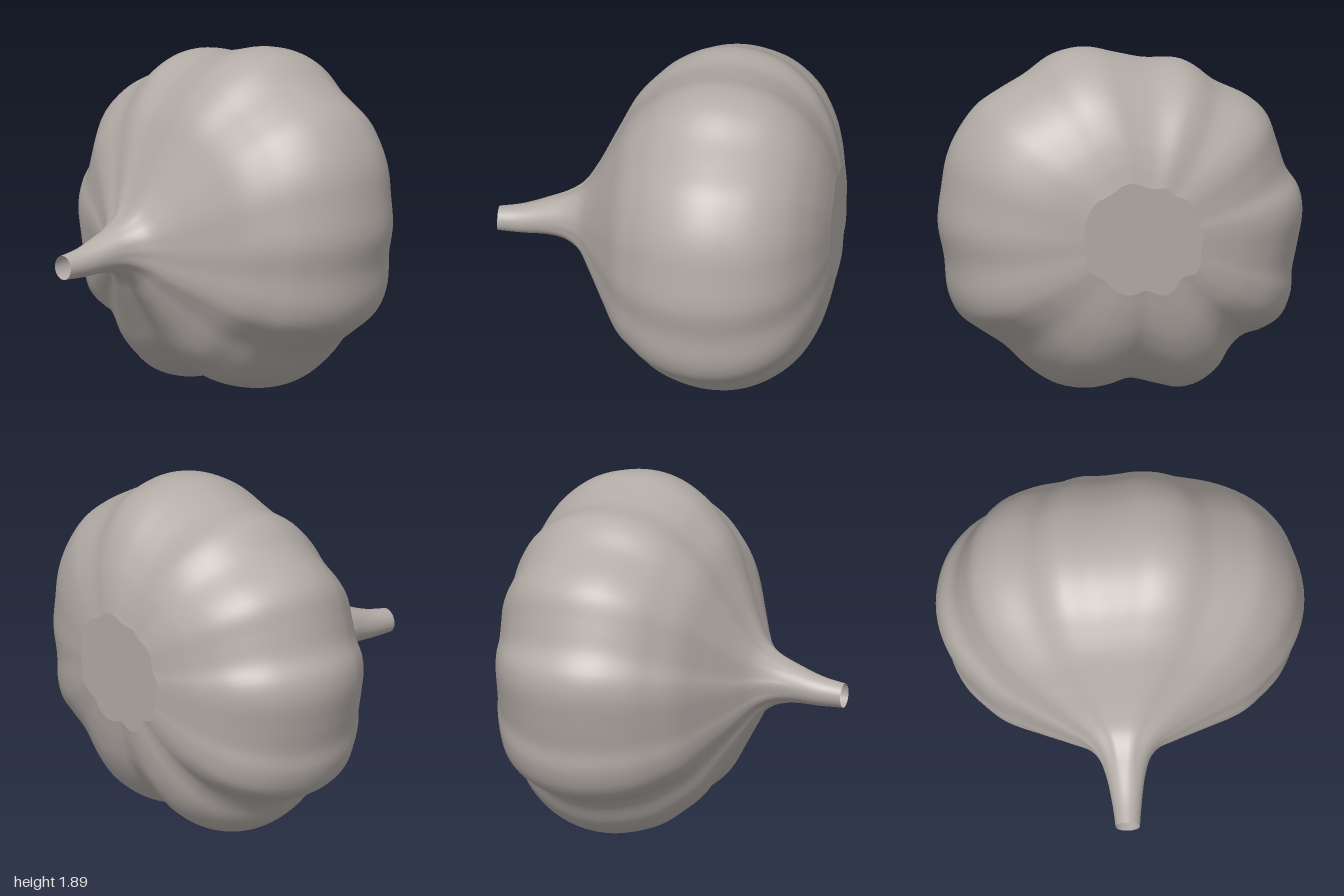
import * as THREE from 'three';

// Lobed outline of the bulb at its widest section (x, y), counter-clockwise
const OUTLINE = [
  [1.0, 0.95], [0.98, 1.15], [0.95, 1.32], [0.89, 1.455], [0.78, 1.6], [0.65, 1.685], [0.515, 1.76],
  [0.355, 1.866], [0.18, 1.898], [0.01, 1.86], [-0.15, 1.823], [-0.34, 1.81], [-0.42, 1.77],
  [-0.527, 1.685], [-0.714, 1.588], [-0.805, 1.5], [-0.86, 1.35], [-0.91, 1.2], [-0.98, 1.09],
  [-1.0, 0.973], [-0.97, 0.786], [-0.94, 0.64], [-0.933, 0.52], [-0.874, 0.385], [-0.767, 0.316],
  [-0.66, 0.283], [-0.59, 0.22], [-0.516, 0.107], [-0.41, 0.03], [-0.3, 0.005], [-0.18, 0.032],
  [-0.02, 0.07], [0.09, 0.04], [0.22, 0.025], [0.38, 0.06], [0.516, 0.15], [0.65, 0.28],
  [0.78, 0.37], [0.89, 0.455], [0.944, 0.57], [0.965, 0.76],
];

// Sections from stem tip to flat root end: z, scale, centre height
const SECTIONS = [
  [0.93, 0.07, 0.818], [0.8, 0.085, 0.83], [0.65, 0.112, 0.86], [0.55, 0.145, 0.872], [0.47, 0.205, 0.872],
  [0.4, 0.32, 0.87], [0.3, 0.52, 0.89], [0.2, 0.71, 0.91], [0.1, 0.82, 0.925], [0, 0.905, 0.935],
  [-0.15, 0.975, 0.947], [-0.3, 1, 0.95], [-0.45, 0.983, 0.95], [-0.6, 0.92, 0.955],
  [-0.75, 0.79, 0.955], [-0.85, 0.62, 0.955], [-0.9, 0.47, 0.96], [-0.93, 0.33, 0.965],
];

const CENTRE_Y = 0.95, MEAN_R = 0.945, AROUND = 180, ALONG = 96;

export function createModel() {
  const skin = new THREE.MeshStandardMaterial({ color: 0xb3aca7, side: THREE.DoubleSide });
  skin.name = 'garlicSkin';

  const outline = new THREE.CatmullRomCurve3(
    OUTLINE.map(([x, y]) => new THREE.Vector3(x, y - CENTRE_Y, 0)), true).getSpacedPoints(AROUND);
  const spine = new THREE.CatmullRomCurve3(SECTIONS.map((s) => new THREE.Vector3(...s)));

  // Scaled outline; the lobes fade out along the stem and deepen towards the root
  function ring(t) {
    const { x: z, y: scale, z: cy } = spine.getPoint(t);
    const lobes = 1 - THREE.MathUtils.smoothstep(z, 0.35, 0.75)
      + 0.3 * (1 - THREE.MathUtils.smoothstep(z, -0.8, -0.4));
    const shift = 0.01 * THREE.MathUtils.smoothstep(z, 0.3, 0.9);
    return outline.slice(0, AROUND).map((p) => {
      const r = p.length();
      const k = scale * (MEAN_R + lobes * (r - MEAN_R)) / r;
      return new THREE.Vector3(shift + p.x * k, cy + p.y * k, z);
    });
  }

  // Bulb and hollow stem as one smooth skin
  const points = [], index = [];
  for (let j = 0; j <= ALONG; j++) {
    points.push(...ring(j / ALONG));
    if (j === ALONG) break;
    for (let i = 0; i < AROUND; i++) {
      const a = j * AROUND + i, c = j * AROUND + (i + 1) % AROUND;
      index.push(a, a + AROUND, c, c, a + AROUND, c + AROUND);
    }
  }
  const bulbGeometry = new THREE.BufferGeometry().setFromPoints(points);
  bulbGeometry.setIndex(index);
  bulbGeometry.computeVertexNormals();
  const bulb = new THREE.Mesh(bulbGeometry, skin);
  bulb.name = 'bulbAndStem';

  // Flat root plate closing the back
  const rim = ring(1);
  const plateIndex = rim.flatMap((_, i) => [AROUND, (i + 1) % AROUND, i]);
  const plateGeometry = new THREE.BufferGeometry()
    .setFromPoints([...rim, new THREE.Vector3(0, 0.965, -0.93)]);
  plateGeometry.setIndex(plateIndex);
  plateGeometry.computeVertexNormals();
  const plate = new THREE.Mesh(plateGeometry, skin);
  plate.name = 'rootPlate';

  const group = new THREE.Group();
  group.name = 'garlicBulb';
  group.add(bulb, plate);
  return group;
}
